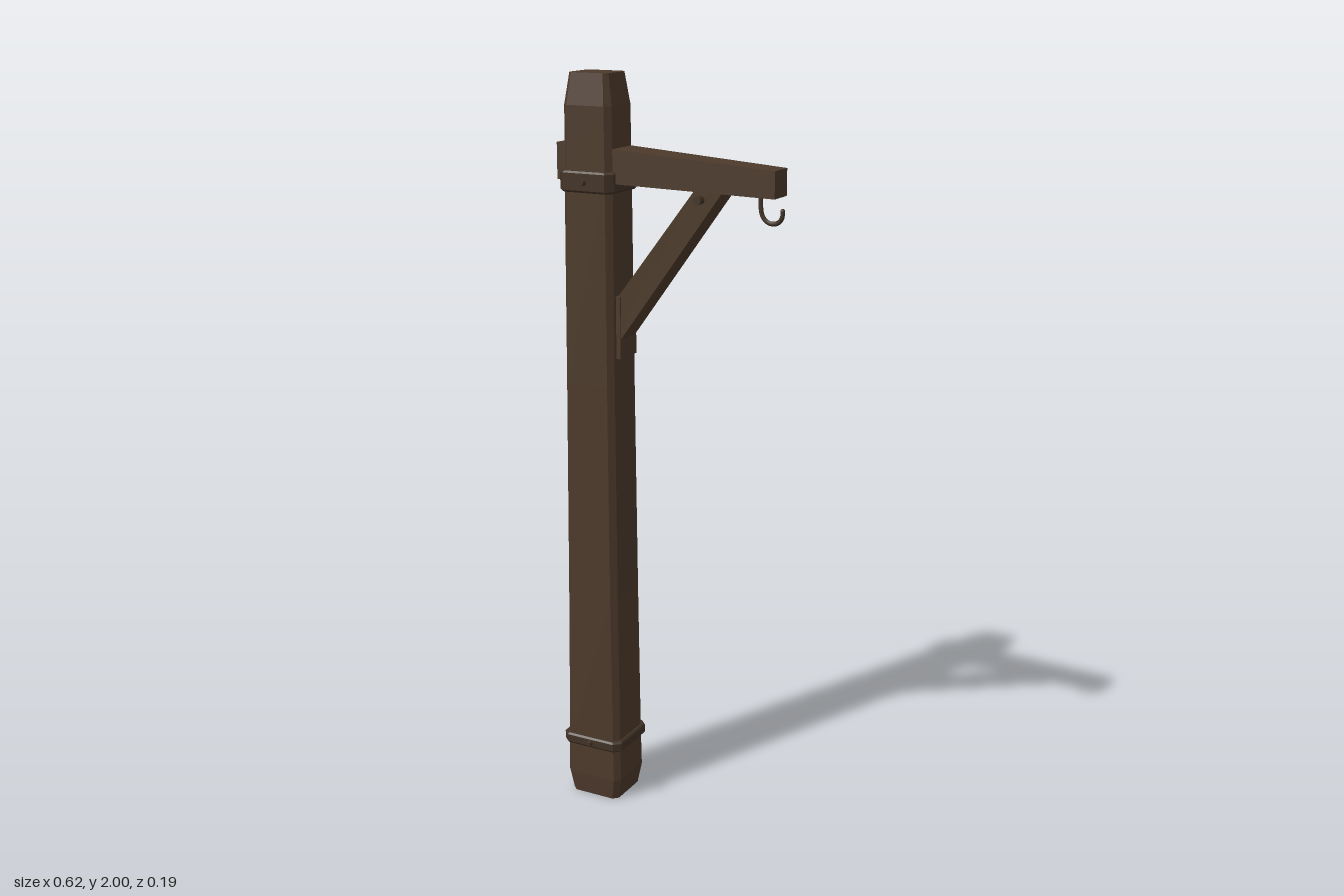
import * as THREE from 'three';

const wood = new THREE.MeshStandardMaterial({ color: 0x4d3a2b });
wood.name = 'dark wood';
const iron = new THREE.MeshStandardMaterial({ color: 0x423327 });
iron.name = 'aged iron';
const POST_X = -0.218;

// Flat-shaded vertical loft through chamfered rectangles [y, halfX, halfZ, chamfer]
function loft(sections) {
  const rings = sections.map(([y, a, b, c]) => [
    [a, b - c], [a, -b + c], [a - c, -b], [-a + c, -b],
    [-a, -b + c], [-a, b - c], [-a + c, b], [a - c, b],
  ].map(([x, z]) => [x, y, z]));
  const pos = [];
  const tri = (...p) => p.forEach((v) => pos.push(...v));
  for (let i = 0; i < rings.length - 1; i++) {
    for (let j = 0; j < 8; j++) {
      const k = (j + 1) % 8, lo = rings[i], hi = rings[i + 1];
      tri(lo[j], lo[k], hi[k]);
      tri(lo[j], hi[k], hi[j]);
    }
  }
  const bottom = rings[0], top = rings[rings.length - 1];
  for (let j = 1; j < 7; j++) {
    tri(top[0], top[j], top[j + 1]);
    tri(bottom[0], bottom[j + 1], bottom[j]);
  }
  const g = new THREE.BufferGeometry();
  g.setAttribute('position', new THREE.Float32BufferAttribute(pos, 3));
  g.computeVertexNormals();
  return g;
}

// Side outline in x,y extruded symmetrically in z; halfZ may vary with x
function plank(points, halfZ) {
  const shape = new THREE.Shape(points.map((p) => new THREE.Vector2(...p)));
  const g = new THREE.ExtrudeGeometry(shape, { depth: 2, bevelEnabled: false });
  const p = g.attributes.position;
  for (let i = 0; i < p.count; i++) p.setZ(i, (p.getZ(i) - 1) * halfZ(p.getX(i)));
  g.computeVertexNormals();
  return g;
}

export function createModel() {
  const model = new THREE.Group();
  const add = (name, geometry, material, x = 0, y = 0, z = 0) => {
    const mesh = new THREE.Mesh(geometry, material);
    mesh.name = name;
    mesh.position.set(x, y, z);
    model.add(mesh);
    return mesh;
  };

  // Tapered post with worn foot and bevelled head
  add('post', loft([
    [0, 0.073, 0.068, 0.014], [0.06, 0.084, 0.075, 0.015], [0.16, 0.082, 0.074, 0.015],
    [0.6, 0.077, 0.072, 0.015], [1.2, 0.073, 0.068, 0.015], [1.75, 0.071, 0.064, 0.015],
    [1.92, 0.069, 0.063, 0.015], [2, 0.057, 0.051, 0.011],
  ]), wood, POST_X);

  // Iron bands with rivets front and back
  [[0.168, 0.03, 0.091, 0.086], [1.73, 0.054, 0.079, 0.076]].forEach(([y, h, a, b], i) => {
    const name = i ? 'upper' : 'lower';
    add(name + 'Band', loft([
      [-h / 2, a - 0.004, b - 0.004, 0.017], [-h / 2 + 0.005, a, b, 0.018],
      [h / 2 - 0.005, a, b, 0.018], [h / 2, a - 0.004, b - 0.004, 0.017],
    ]), iron, POST_X, y);
    for (const s of [-1, 1]) {
      const rivet = add(name + 'Rivet', new THREE.CylinderGeometry(0.006, 0.009, 0.012, 8), iron,
        POST_X, y, s * (b + 0.004));
      rivet.rotation.x = s * Math.PI / 2;
    }
  });

  // Tapering arm running through the post
  add('arm', plank([[-0.308, 1.731], [0.296, 1.717], [0.296, 1.785], [-0.308, 1.825]],
    (x) => 0.049 - (x + 0.15) * 0.03), wood);

  // Diagonal brace, its seat on the post and the peg through its head
  add('brace', plank([[-0.15, 1.312], [-0.137, 1.32], [0.156, 1.724], [0.08, 1.726], [-0.15, 1.425]],
    () => 0.038), wood);
  add('braceSeat', new THREE.BoxGeometry(0.022, 0.165, 0.084), wood, -0.144, 1.355);
  const peg = add('bracePeg', new THREE.CylinderGeometry(0.011, 0.011, 0.12, 8), iron, 0.097, 1.703);
  peg.rotation.x = Math.PI / 2;

  // Hanging hook beneath the arm tip
  const path = new THREE.CatmullRomCurve3([
    [0.244, 1.73], [0.243, 1.695], [0.247, 1.671], [0.259, 1.656], [0.276, 1.651],
    [0.292, 1.656], [0.301, 1.668], [0.302, 1.684],
  ].map(([x, y]) => new THREE.Vector3(x, y, 0)));
  add('hook', new THREE.TubeGeometry(path, 28, 0.006, 8), iron);
  add('hookTip', new THREE.SphereGeometry(0.006, 8, 6), iron, 0.302, 1.684);

  return model;
}
